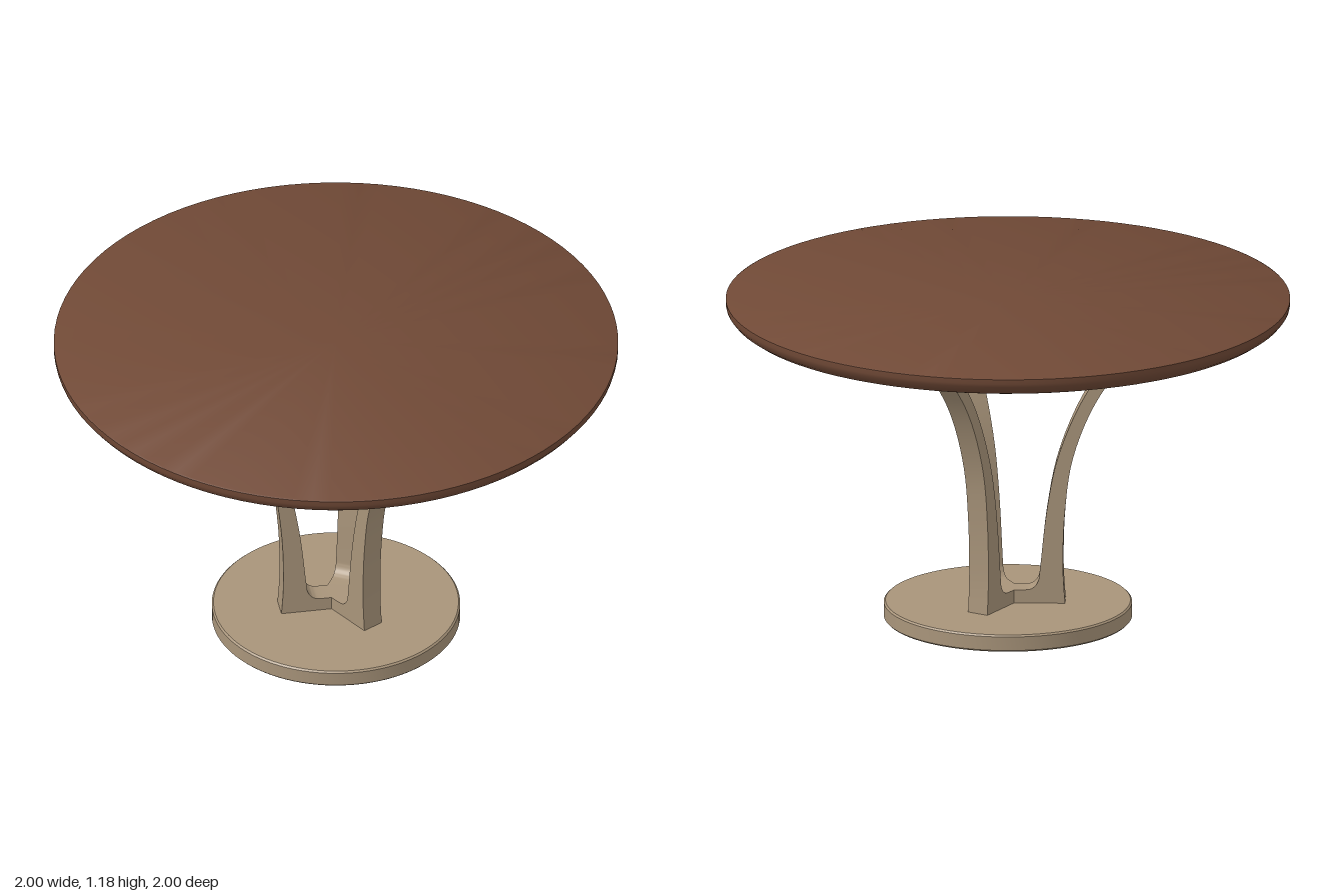
import * as THREE from 'three';
import { toCreasedNormals } from 'three/addons/utils/BufferGeometryUtils.js';

const v2 = (list) => list.map(([x, y]) => new THREE.Vector2(x, y));

// Solid of revolution with crisp edges, profile listed bottom to top
function turned(name, profile, material) {
  const geometry = toCreasedNormals(new THREE.LatheGeometry(v2(profile), 96), 0.6);
  const mesh = new THREE.Mesh(geometry, material);
  mesh.name = name;
  return mesh;
}

// Foot, curved upright and top rail of one leg, drawn as radius against height
function legGeometry() {
  const width = 0.08;
  const outer = new THREE.SplineCurve(v2([
    [0.204, 0.055], [0.196, 0.2], [0.203, 0.4], [0.232, 0.6],
    [0.31, 0.8], [0.425, 0.96], [0.585, 1.107],
  ])).getPoints(30);
  const inner = new THREE.SplineCurve(v2([
    [0.488, 1.086], [0.36, 0.955], [0.258, 0.8], [0.178, 0.6],
    [0.138, 0.4], [0.115, 0.19], [0.107, 0.14], [0.085, 0.115], [0.05, 0.11],
  ])).getPoints(36);
  const shape = new THREE.Shape([
    ...v2([[0, 0.055]]), ...outer,
    ...v2([[0, 1.107], [0, 1.086]]), ...inner,
    ...v2([[0, 0.11]]),
  ]);
  const geometry = new THREE.ExtrudeGeometry(shape, { depth: width, bevelEnabled: false });
  geometry.translate(0, 0, -width / 2);
  return toCreasedNormals(geometry, 0.6);
}

export function createModel() {
  const model = new THREE.Group();
  model.name = 'pedestalTable';

  const wood = new THREE.MeshStandardMaterial({ color: 0x704936 });
  wood.name = 'brown wood';
  const tan = new THREE.MeshStandardMaterial({ color: 0xa8947a });
  tan.name = 'tan lacquer';

  // Round top with a rounded underside edge
  model.add(turned('tableTop', [
    [0, 1.106], [0.935, 1.106], [0.96, 1.114], [0.983, 1.13],
    [0.997, 1.148], [1, 1.16], [1, 1.177], [0.994, 1.18], [0, 1.181],
  ], wood));

  // Round base plate with slightly eased rims
  model.add(turned('basePlate', [
    [0, 0], [0.434, 0], [0.44, 0.006], [0.44, 0.056], [0.434, 0.062], [0, 0.062],
  ], tan));

  // Three legs meeting at the centre
  const geometry = legGeometry();
  for (let i = 0; i < 3; i++) {
    const leg = new THREE.Mesh(geometry, tan);
    leg.name = `leg${i + 1}`;
    leg.rotation.y = (i * Math.PI * 2) / 3;
    model.add(leg);
  }
  return model;
}
